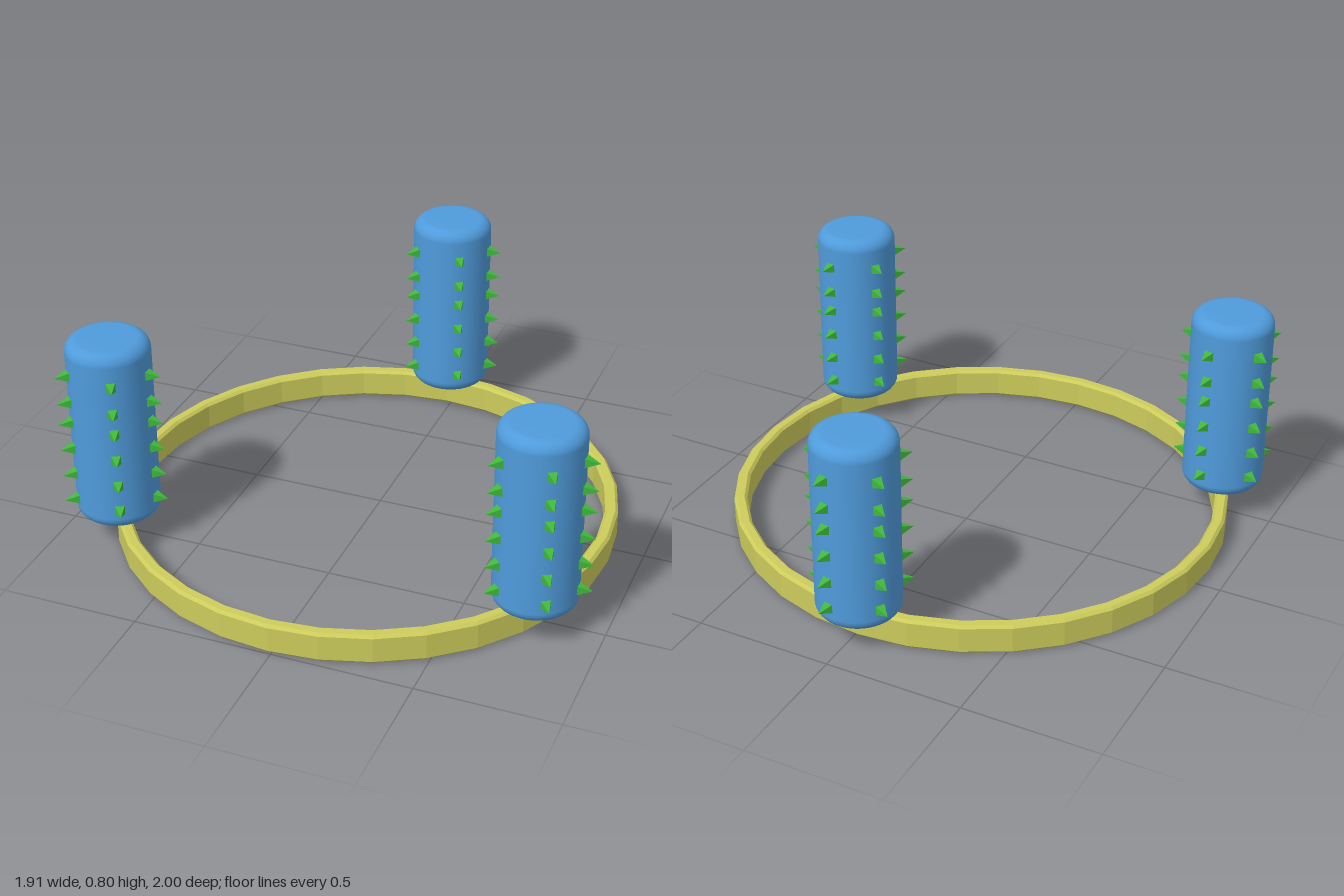
import * as THREE from 'three';

export function createModel() {
  const model = new THREE.Group();
  model.name = 'spikedPostRing';
  const yellow = new THREE.MeshStandardMaterial({ color: 0xcccc5c, flatShading: true });
  const blue = new THREE.MeshStandardMaterial({ color: 0x4f9bdb });
  const green = new THREE.MeshStandardMaterial({ color: 0x3fb83a, flatShading: true });

  const v = (x, y) => new THREE.Vector2(x, y);
  const cx = -0.015, cz = 0.09;

  // faceted base ring with small chamfers
  const ri = 0.862, ro = 0.909, h = 0.112, c = 0.01;
  const section = [
    v(ri + c, 0), v(ro - c, 0), v(ro, c), v(ro, h - c), v(ro - c, h),
    v(ri + c, h), v(ri, h - c), v(ri, c), v(ri + c, 0),
  ];
  const ring = new THREE.Mesh(new THREE.LatheGeometry(section, 32), yellow);
  ring.name = 'baseRing';
  ring.position.set(cx, 0, cz);
  model.add(ring);

  // post profile: cylinder with rounded rims
  const R = 0.148, y0 = 0.108, y1 = 0.8, f = 0.045;
  const profile = [v(0, y0)];
  for (let i = 0; i <= 6; i++) {
    const a = -Math.PI / 2 + (i / 6) * (Math.PI / 2);
    profile.push(v(R - f + f * Math.cos(a), y0 + f + f * Math.sin(a)));
  }
  for (let i = 0; i <= 6; i++) {
    const a = (i / 6) * (Math.PI / 2);
    profile.push(v(R - f + f * Math.cos(a), y1 - f + f * Math.sin(a)));
  }
  profile.push(v(0, y1));
  const postGeo = new THREE.LatheGeometry(profile, 48);

  // four-sided spike pointing along +x
  const spikeGeo = new THREE.ConeGeometry(0.031, 0.065, 4);
  spikeGeo.rotateY(Math.PI / 4);
  spikeGeo.rotateZ(-Math.PI / 2);
  spikeGeo.translate(0.1635, 0, 0);

  const rows = [0.192, 0.294, 0.397, 0.5, 0.58, 0.683];
  const angles = [0, 78, 149, 226, 300];

  // three posts spaced evenly around the ring, all facing the same way
  for (let k = 0; k < 3; k++) {
    const a = Math.PI / 2 + (k * 2 * Math.PI) / 3;
    const post = new THREE.Group();
    post.name = 'post' + (k + 1);
    post.position.set(cx + 0.895 * Math.cos(a), 0, cz - 0.895 * Math.sin(a));
    const body = new THREE.Mesh(postGeo, blue);
    body.name = 'postBody';
    post.add(body);
    for (const y of rows) {
      for (const deg of angles) {
        const spike = new THREE.Mesh(spikeGeo, green);
        spike.name = 'spike';
        spike.position.y = y;
        spike.rotation.y = THREE.MathUtils.degToRad(deg);
        post.add(spike);
      }
    }
    model.add(post);
  }
  return model;
}
